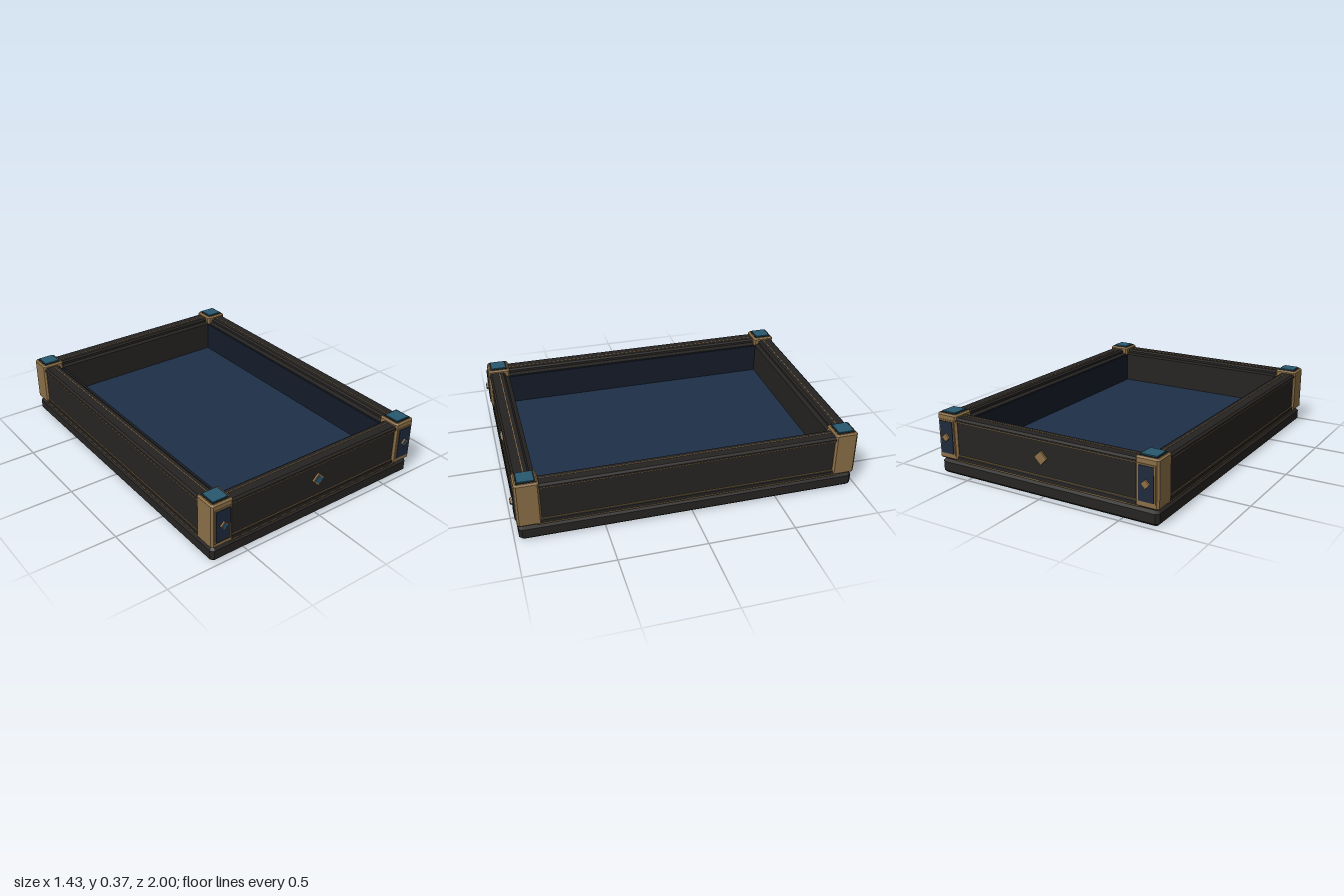
import * as THREE from 'three';

const mat = (color) => new THREE.MeshStandardMaterial({ color });
const dark = mat(0x262422), black = mat(0x1d1c1c), gold = mat(0x8b6f47);
const teal = mat(0x28586f), navy = mat(0x1f2a3c), floorBlue = mat(0x1e3048), liningBlue = mat(0x151c29);

function add(parent, name, geometry, material, x = 0, y = 0, z = 0) {
  const mesh = new THREE.Mesh(geometry, material);
  mesh.name = name;
  mesh.position.set(x, y, z);
  parent.add(mesh);
  return mesh;
}

const box = (w, h, d) => new THREE.BoxGeometry(w, h, d);

// Block standing on y = 0 with all its edges chamfered by c
function chamferBox(w, h, d, c) {
  const x = w / 2 - c, z = d / 2 - c, k = c * 0.6;
  const shape = new THREE.Shape([
    [x - k, -z], [x, -z + k], [x, z - k], [x - k, z],
    [-x + k, z], [-x, z - k], [-x, -z + k], [-x + k, -z],
  ].map((p) => new THREE.Vector2(...p)));
  const g = new THREE.ExtrudeGeometry(shape, {
    depth: h - 2 * c, bevelEnabled: true, bevelThickness: c, bevelSize: c, bevelSegments: 1,
  });
  return g.rotateX(-Math.PI / 2).translate(0, c, 0);
}

// Diamond plate facing +z, its back at z = 0
function diamond(r, depth) {
  const s = new THREE.Shape([[r, 0], [0, r], [-r, 0], [0, -r]].map((p) => new THREE.Vector2(...p)));
  return new THREE.ExtrudeGeometry(s, { depth, bevelEnabled: false });
}

// Gold diamond; the front ones hold a teal gem
function badge(parent, x, z, r, sign) {
  const b = new THREE.Group();
  b.name = 'diamondBadge';
  b.position.set(x, 0.227, z);
  if (sign < 0) b.rotation.y = Math.PI;
  add(b, 'diamondFrame', diamond(r, 0.011), gold);
  if (sign > 0) add(b, 'diamondGem', diamond(r * 0.7, 0.014), teal);
  parent.add(b);
}

// Wall whose outer side faces +z; its origin is the middle of its thickness
function wall(length, inner) {
  const g = new THREE.Group();
  g.name = 'wall';
  const profile = new THREE.Shape([
    [inner, 0.09], [0.058, 0.09], [0.062, 0.096], [0.062, 0.116], [0.055, 0.124],
    [0.055, 0.318], [0.062, 0.324], [0.062, 0.334], [0.05, 0.345],
    [-0.024, 0.345], [-0.036, 0.336], [-0.036, 0.322], [inner, 0.314],
  ].map((p) => new THREE.Vector2(...p)));
  const geo = new THREE.ExtrudeGeometry(profile, { depth: length, bevelEnabled: false });
  geo.translate(0, 0, -length / 2).rotateY(-Math.PI / 2);
  add(g, 'wallBody', geo, dark);
  // Thin inlaid lines: upper, lower, foot and top
  add(g, 'upperInlay', box(length, 0.005, 0.006), gold, 0, 0.322, 0.0595);
  add(g, 'lowerInlay', box(length, 0.005, 0.006), gold, 0, 0.123, 0.0555);
  add(g, 'footInlay', box(length, 0.006, 0.006), gold, 0, 0.092, 0.059);
  add(g, 'topInlay', box(length, 0.004, 0.004), gold, 0, 0.345, 0);
  return g;
}

export function createModel() {
  const model = new THREE.Group();
  model.name = 'tray';

  // Chamfered plinth, waist above it and blue floor
  add(model, 'base', chamferBox(1.424, 0.084, 1.946, 0.015), dark);
  add(model, 'waist', box(1.38, 0.02, 1.9), black, 0, 0.09, 0);
  add(model, 'floor', box(1.2, 0.03, 1.74), floorBlue, 0, 0.11, 0);

  for (const s of [-1, 1]) {
    // Short front and back walls
    const short = wall(1.2, -0.06);
    short.position.z = s * 0.91;
    if (s < 0) short.rotation.y = Math.PI;
    model.add(short);
    badge(model, 0, s * 0.965, 0.04, s);

    // Long side walls with blue lining
    const long = wall(1.74, -0.06);
    long.position.x = s * 0.648;
    long.rotation.y = s * Math.PI / 2;
    model.add(long);
    add(model, 'sideLining', box(0.012, 0.19, 1.7), liningBlue, s * 0.583, 0.215, 0);
  }

  // Corner posts with end panels and top tiles
  for (const sx of [-1, 1]) for (const sz of [-1, 1]) {
    const post = new THREE.Group();
    post.name = 'cornerPost';
    const x = sx * 0.648, z = sz * 0.911;
    add(post, 'postBody', chamferBox(0.136, 0.27, 0.134, 0.009), gold, x, 0.092, z);
    add(post, 'endPanelFrame', box(0.104, 0.206, 0.008), gold, x, 0.225, sz * 0.978);
    add(post, 'endPanel', box(0.088, 0.19, 0.01), navy, x, 0.225, sz * 0.981);
    add(post, 'topTileBorder', box(0.106, 0.004, 0.106), black, x, 0.362, z);
    add(post, 'topTile', box(0.092, 0.012, 0.092), teal, x, 0.364, z);
    badge(post, x, sz * 0.986, 0.025, sz);
    model.add(post);
  }
  return model;
}
